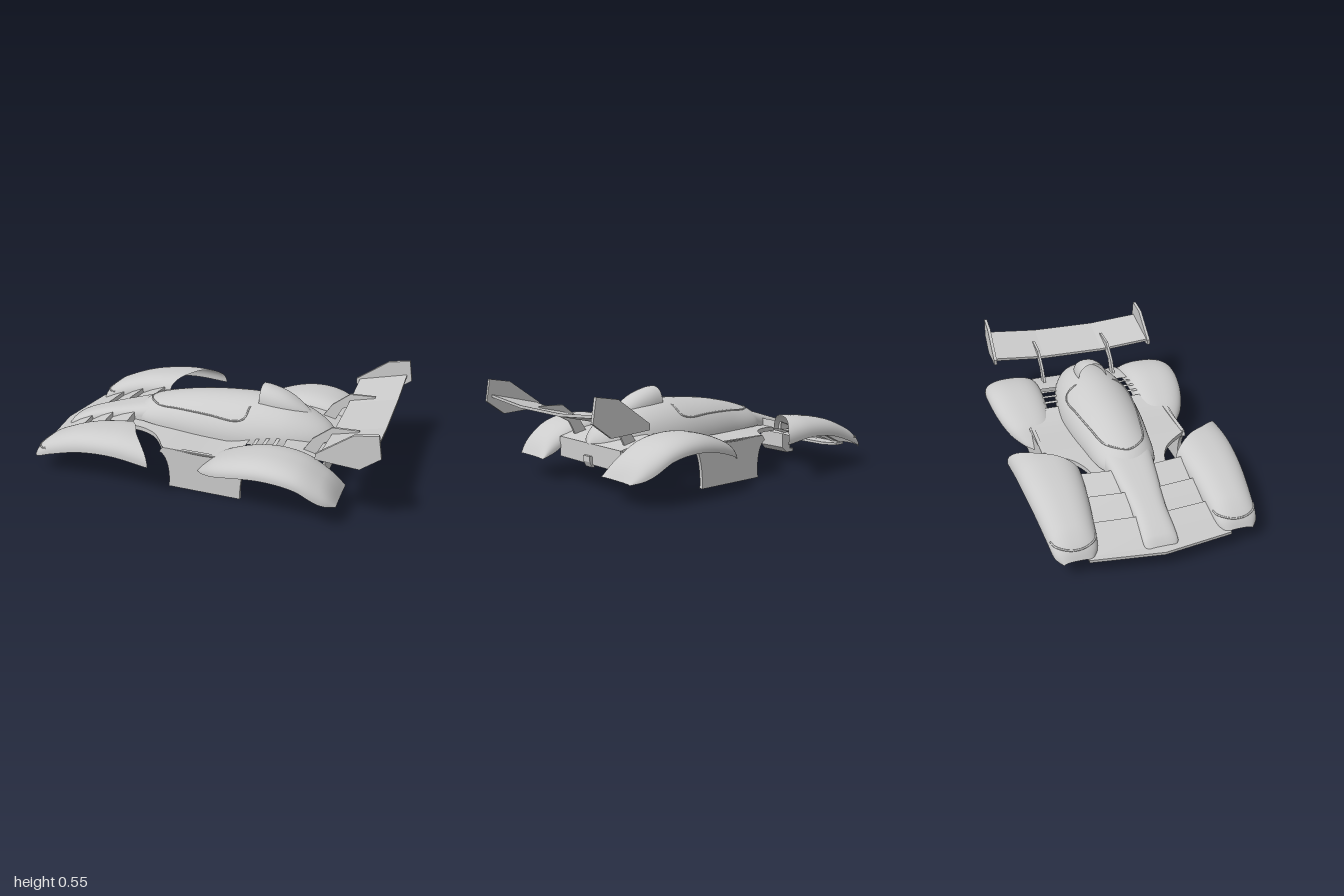
import * as THREE from 'three';

const material = new THREE.MeshStandardMaterial({ color: 0xcccccc, side: THREE.DoubleSide });

// Smooth curve through [x, y] pairs, clamped at the ends
function curve(...p) {
  const slope = i => {
    const a = p[Math.max(i - 1, 0)], b = p[Math.min(i + 1, p.length - 1)];
    return (b[1] - a[1]) / (b[0] - a[0]);
  };
  return x => {
    if (x <= p[0][0]) return p[0][1];
    if (x >= p[p.length - 1][0]) return p[p.length - 1][1];
    const i = p.findIndex(q => q[0] > x) - 1;
    const d = p[i + 1][0] - p[i][0], t = (x - p[i][0]) / d, t2 = t * t, t3 = t2 * t;
    return (2 * t3 - 3 * t2 + 1) * p[i][1] + (t3 - 2 * t2 + t) * d * slope(i)
      + (3 * t2 - 2 * t3) * p[i + 1][1] + (t3 - t2) * d * slope(i + 1);
  };
}

function add(parent, name, geometry) {
  const mesh = new THREE.Mesh(geometry, material);
  mesh.name = name;
  parent.add(mesh);
  return mesh;
}

// Sheet from f(u, v) -> [x, y, z]; side = -1 mirrors it across z
function sheet(nu, nv, f, side = 1, flat = false) {
  const pos = [], idx = [];
  for (let i = 0; i <= nu; i++) for (let j = 0; j <= nv; j++) {
    const [x, y, z] = f(i / nu, j / nv);
    pos.push(x, y, z * side);
    if (i === nu || j === nv) continue;
    const a = i * (nv + 1) + j, b = a + 1, c = a + nv + 1, d = c + 1;
    if (side > 0) idx.push(a, b, c, b, d, c);
    else idx.push(a, c, b, b, c, d);
  }
  let g = new THREE.BufferGeometry();
  g.setAttribute('position', new THREE.Float32BufferAttribute(pos, 3));
  g.setIndex(idx);
  if (flat) g = g.toNonIndexed();
  g.computeVertexNormals();
  return g;
}

// Side-profile plate in x/y, centred on the given z
function plate(points, thickness, z) {
  const shape = points instanceof THREE.Shape ? points
    : new THREE.Shape(points.map(p => new THREE.Vector2(...p)));
  return new THREE.ExtrudeGeometry(shape, { depth: thickness, bevelEnabled: false, curveSegments: 10 })
    .translate(0, 0, z - thickness / 2);
}

const mix = THREE.MathUtils.lerp;
const power = (n, e) => Math.sign(n) * Math.pow(Math.abs(n), e);
const arch = (v, e) => [-power(Math.cos(Math.PI * v), e), power(Math.max(0, Math.sin(Math.PI * v)), e)];

// Central body
const bodyW = curve([-0.52, 0.05], [-0.48, 0.1], [-0.4, 0.155], [-0.2, 0.19], [0, 0.215], [0.2, 0.222], [0.4, 0.2], [0.55, 0.15], [0.65, 0.08], [0.69, 0.005]);
const bodyH = curve([-0.52, 0.02], [-0.48, 0.06], [-0.42, 0.1], [-0.3, 0.14], [-0.1, 0.18], [0.1, 0.2], [0.25, 0.205], [0.4, 0.19], [0.5, 0.16], [0.6, 0.11], [0.66, 0.06], [0.69, 0.005]);
const onBody = (x, z) => 0.23 + bodyH(x) * Math.sqrt(Math.max(0, 1 - (z / bodyW(x)) ** 2));

// Deck beside the body
const deckZ = curve([-0.5, 0.205], [-0.4, 0.215], [-0.3, 0.265], [-0.24, 0.33], [-0.18, 0.415], [-0.17, 0.415], [0.2, 0.415], [0.25, 0.32], [0.3, 0.3], [0.68, 0.28]);
const deckY = curve([-0.5, 0.22], [-0.2, 0.23], [0.12, 0.23], [0.3, 0.27], [0.42, 0.28], [0.55, 0.265], [0.68, 0.235]);

// Front fender rules
const front = {
  top: curve([-0.94, 0.1], [-0.92, 0.14], [-0.88, 0.18], [-0.82, 0.22], [-0.63, 0.29], [-0.4, 0.325], [-0.27, 0.322], [-0.18, 0.31]),
  low: curve([-0.94, 0.085], [-0.8, 0.14], [-0.6, 0.2], [-0.4, 0.222], [-0.18, 0.205]),
  inner: curve([-0.94, 0.35], [-0.9, 0.315], [-0.83, 0.3], [-0.45, 0.268], [-0.18, 0.265]),
  outer: curve([-0.94, 0.49], [-0.9, 0.525], [-0.83, 0.54], [-0.5, 0.585], [-0.18, 0.61]),
  start: () => -0.94,
  end: v => -0.43 + 0.25 * Math.pow((1 - Math.cos(Math.PI * v)) / 2, 1.25),
};
// Rear fender rules
const rear = {
  top: curve([0.025, 0.135], [0.06, 0.175], [0.13, 0.235], [0.3, 0.302], [0.45, 0.325], [0.6, 0.302], [0.72, 0.235], [0.77, 0.18], [0.8, 0.125]),
  low: curve([0.025, 0.13], [0.15, 0.175], [0.3, 0.22], [0.45, 0.24], [0.6, 0.22], [0.72, 0.15], [0.8, 0.12]),
  inner: curve([0.025, 0.37], [0.06, 0.32], [0.12, 0.29], [0.25, 0.272], [0.8, 0.275]),
  outer: curve([0.025, 0.42], [0.06, 0.465], [0.15, 0.53], [0.3, 0.58], [0.5, 0.602], [0.65, 0.59], [0.75, 0.555], [0.8, 0.51]),
  start: () => 0.025,
  end: () => 0.8,
};
const fenderPoint = r => (u, v) => {
  const x = mix(r.start(v), r.end(v), u < 0.3 ? u * u / 0.6 + u * 0.5 : u);
  const [c, s] = arch(v, 0.8);
  return [x, r.low(x) + (r.top(x) - r.low(x)) * s, mix(r.inner(x), r.outer(x), (c + 1) / 2)];
};

export function createModel() {
  const car = new THREE.Group();
  car.name = 'carBody';

  add(car, 'centralBody', sheet(64, 32, (u, v) => {
    const x = mix(-0.52, 0.69, u), [c, s] = arch(v, 1);
    return [x, 0.23 + bodyH(x) * s, bodyW(x) * c];
  }));

  // Canopy seam
  const half = [[-0.38, 0.075], [-0.32, 0.115], [-0.2, 0.14], [0, 0.172], [0.15, 0.187], [0.2, 0.175], [0.215, 0.12]];
  const seam = [[-0.42, 0], ...half, ...half.map(([x, z]) => [x, -z]).reverse()];
  const seamPath = new THREE.CatmullRomCurve3(seam.map(([x, z]) => new THREE.Vector3(x, onBody(x, z), z)), true);
  add(car, 'canopySeam', new THREE.TubeGeometry(seamPath, 90, 0.005, 6, true));

  // Air scoop, open to the front
  const scoopTop = curve([0.25, 0.505], [0.3, 0.5], [0.4, 0.468], [0.5, 0.405], [0.55, 0.36]);
  const scoopW = curve([0.25, 0.085], [0.35, 0.085], [0.45, 0.065], [0.55, 0.015]);
  add(car, 'airScoop', sheet(20, 18, (u, v) => {
    const x = mix(0.255, 0.55, u), [c, s] = arch(v, 0.9), base = 0.2 + bodyH(x);
    return [x, base + (scoopTop(x) - base) * s, scoopW(x) * c];
  }));

  // Nose ridge
  const noseTop = curve([-0.955, 0.1], [-0.94, 0.125], [-0.85, 0.175], [-0.7, 0.23], [-0.55, 0.275], [-0.4, 0.32]);
  const noseLow = curve([-0.955, 0.085], [-0.8, 0.13], [-0.6, 0.19], [-0.4, 0.23]);
  const noseW = curve([-0.955, 0.075], [-0.93, 0.09], [-0.75, 0.092], [-0.6, 0.11], [-0.4, 0.14]);
  add(car, 'noseRidge', sheet(28, 20, (u, v) => {
    const x = mix(-0.955, -0.4, u), [c, s] = arch(v, 0.6);
    return [x, noseLow(x) + (noseTop(x) - noseLow(x)) * s, noseW(x) * c];
  }));

  // Splitter lip
  const lip = new THREE.Shape([[-1, 0], [-0.95, 0.37], [-0.88, 0.37], [-0.84, 0.3], [-0.84, -0.3], [-0.88, -0.37], [-0.95, -0.37]]
    .map(p => new THREE.Vector2(...p)));
  add(car, 'splitter', new THREE.ExtrudeGeometry(lip, { depth: 0.015, bevelEnabled: false })
    .rotateX(Math.PI / 2).translate(0, 0.097, 0));

  // Front mounting hook under the nose
  add(car, 'frontHook', plate([[-0.92, 0.08], [-0.77, 0.08], [-0.77, 0.035], [-0.8, 0.035], [-0.8, 0.015],
    [-0.74, 0.015], [-0.7, 0.05], [-0.7, 0.14], [-0.8, 0.11], [-0.92, 0.09]], 0.186, 0));

  // Rear panel and its small tab
  add(car, 'rearPanel', plate([[0.672, 0.125], [0.684, 0.125], [0.684, 0.235], [0.672, 0.235]], 0.56, 0));
  add(car, 'rearTab', plate([[0.67, 0.11], [0.685, 0.11], [0.7, 0.14], [0.7, 0.17], [0.67, 0.17]], 0.06, 0));

  // Rear wing blade: flat centre with raised outer sections
  const stations = [-0.5, -0.19, 0.19, 0.5];
  const blade = [[0.7, 0.36], [0.7, 0.375], [0.95, 0.435], [0.97, 0.44], [0.97, 0.425], [0.7, 0.36]];
  add(car, 'rearWing', sheet(3, 5, (u, v) => {
    const z = stations[Math.round(u * 3)], [x, y] = blade[Math.round(v * 5)];
    return [x, y + (Math.abs(z) > 0.3 ? 0.026 : 0), z];
  }, 1, true));

  const skirt = new THREE.Shape();
  skirt.moveTo(-0.148, 0);
  skirt.lineTo(0.265, 0);
  skirt.bezierCurveTo(0.26, 0.08, 0.275, 0.17, 0.3, 0.21);
  skirt.lineTo(0.28, 0.232);
  skirt.lineTo(-0.18, 0.232);
  skirt.lineTo(-0.2, 0.205);
  skirt.bezierCurveTo(-0.15, 0.19, -0.135, 0.08, -0.148, 0);

  for (const side of [1, -1]) {
    const half = new THREE.Group();
    half.name = side > 0 ? 'positiveSide' : 'negativeSide';
    car.add(half);

    add(half, 'frontFender', sheet(40, 28, fenderPoint(front), side));
    add(half, 'rearFender', sheet(48, 28, fenderPoint(rear), side));

    // Headlight seam across the fender tip
    const light = [];
    for (let i = 0; i <= 16; i++) {
      const v = mix(0.12, 0.88, i / 16), x = -0.84 - 0.075 * Math.sin(Math.PI * i / 16) ** 0.6;
      const [c, s] = arch(v, 0.8);
      light.push(new THREE.Vector3(x, mix(front.low(x), front.top(x), s), side * mix(front.inner(x), front.outer(x), (c + 1) / 2)));
    }
    add(half, 'headlightSeam', new THREE.TubeGeometry(new THREE.CatmullRomCurve3(light), 32, 0.005, 6));

    // Stepped louvres between nose and fender
    [[-0.96, -0.79, 0.088, 0.175], [-0.8, -0.645, 0.145, 0.225], [-0.66, -0.49, 0.19, 0.262]].forEach(([x0, x1, y0, y1]) => {
      const steps = [[x0, y0], [mix(x0, x1, 0.5), mix(y0, y1, 0.56)], [x1, y1], [x1 + 0.005, y1 - 0.045]];
      add(half, 'frontLouvre', sheet(3, 1, (u, v) => {
        const [x, y] = steps[Math.round(u * 3)];
        return [x + 0.02 * v, y, v ? front.inner(x) + 0.02 : noseW(x) - 0.02];
      }, side, true));
    });
    // Floor joining the last louvre to the deck
    add(half, 'noseFloor', sheet(4, 1, (u, v) => [mix(-0.64, -0.47, u), mix(0.19, 0.222, u), mix(0.09, mix(0.27, 0.21, u), v)], side));

    // Deck, with slots cut between narrow slats
    [['deck', -0.5, 0.25, 36], ['slat', 0.285, 0.305, 2], ['slat', 0.34, 0.36, 2], ['slat', 0.395, 0.415, 2], ['rearDeck', 0.45, 0.68, 12]]
      .forEach(([name, a, b, n]) => add(half, name, sheet(n, 4, (u, v) => {
        const x = mix(a, b, u);
        return [x, deckY(x), mix(Math.max(0, bodyW(x) - 0.015), deckZ(x), v)];
      }, side)));
    // Turned-down edge along the wheel cut-out
    add(half, 'deckLip', sheet(20, 1, (u, v) => {
      const x = mix(-0.5, -0.18, u);
      return [x, deckY(x) - 0.025 * v, deckZ(x)];
    }, side));

    add(half, 'sideSkirt', plate(skirt, 0.02, side * 0.407));
    add(half, 'wingEndPlate', plate([[0.68, 0.37], [0.9, 0.355], [1, 0.43], [0.98, 0.55], [0.86, 0.53], [0.68, 0.4]], 0.018, side * 0.505));
    add(half, 'wingStrut', plate([[0.54, 0.24], [0.62, 0.24], [0.66, 0.32], [0.75, 0.37], [0.84, 0.402],
      [0.84, 0.42], [0.7, 0.415], [0.6, 0.335]], 0.014, side * 0.226));
  }
  return car;
}
